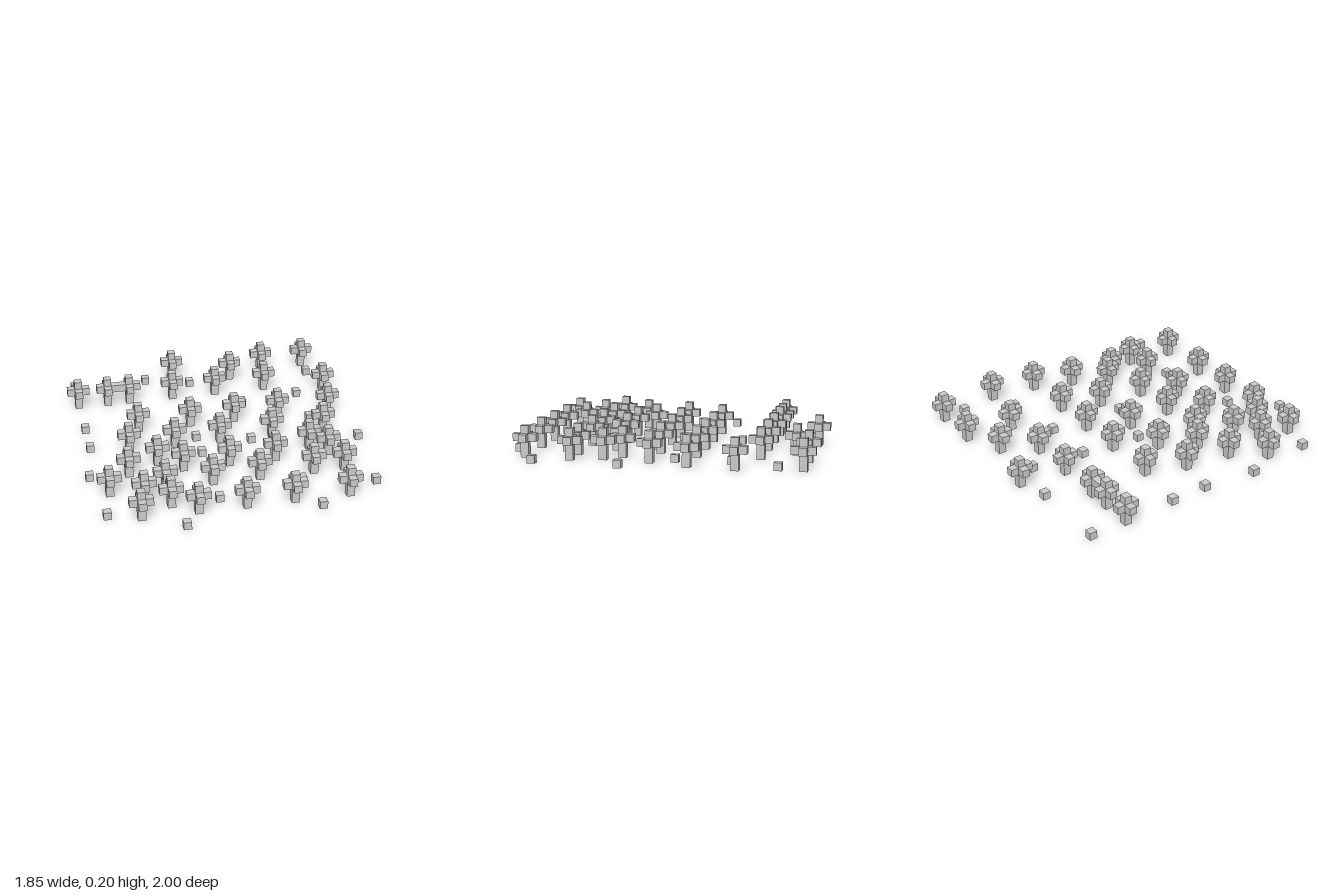
import * as THREE from 'three';

const S = 0.05; // edge of one block
const material = new THREE.MeshStandardMaterial({ color: 0xcccccc, flatShading: true });

// Plus-shaped slab of foliage, one block thick, lying flat
function plusGeometry() {
  const a = S / 2, b = S * 1.5;
  const points = [[a, b], [-a, b], [-a, a], [-b, a], [-b, -a], [-a, -a],
    [-a, -b], [a, -b], [a, -a], [b, -a], [b, a], [a, a]];
  const shape = new THREE.Shape(points.map(([x, y]) => new THREE.Vector2(x, y)));
  return new THREE.ExtrudeGeometry(shape, { depth: S, bevelEnabled: false }).rotateX(-Math.PI / 2);
}

const trunkGeo = new THREE.BoxGeometry(S, 2 * S, S).translate(0, S, 0);
const leavesGeo = plusGeometry().translate(0, 2 * S, 0);
const tipGeo = new THREE.BoxGeometry(S, S, S).translate(0, 3.5 * S, 0);
const bushGeo = new THREE.BoxGeometry(S, S, S).translate(0, S / 2, 0);

// Rows of [z, x positions]
const treeRows = [
  [-0.925, [-0.15, 0.5, 0.8]],
  [-0.825, [0.25]],
  [-0.625, [-0.85, -0.65, -0.5, -0.2, 0.1, 0.45]],
  [-0.525, [0.85]],
  [-0.225, [-0.5, -0.15, 0.15, 0.45, 0.8]],
  [0.025, [-0.6, -0.3, 0, 0.35, 0.7]],
  [0.225, [-0.45, 0.55]],
  [0.325, [-0.65, -0.3, 0, 0.3, 0.65]],
  [0.525, [-0.8, -0.45, -0.15, 0.15, 0.5, 0.7]],
  [0.625, [-0.6]],
  [0.725, [-0.45]],
  [0.825, [-0.65, -0.3, 0, 0.3, 0.65]],
];
const bushRows = [
  [-0.875, [-0.85, -0.35]],
  [-0.775, [-0.05, 0.8]],
  [-0.475, [0.65]],
  [-0.425, [-0.1, 0.25]],
  [-0.275, [-0.85]],
  [-0.125, [0.65]],
  [-0.025, [-0.85, -0.15]],
  [0.075, [0.2]],
  [0.175, [-0.15, 0.9]],
  [0.325, [-0.9]],
  [0.625, [0.4]],
  [0.725, [-0.15, 0.85]],
  [0.775, [-0.85]],
  [0.925, [0.45]],
  [0.975, [-0.4]],
];

function part(name, geometry) {
  const mesh = new THREE.Mesh(geometry, material);
  mesh.name = name;
  return mesh;
}

function makeTree() {
  const tree = new THREE.Group();
  tree.name = 'tree';
  tree.add(part('trunk', trunkGeo), part('leaves', leavesGeo), part('treeTop', tipGeo));
  return tree;
}

// Place one copy of a plant at every position of the rows
function plant(name, rows, make) {
  const group = new THREE.Group();
  group.name = name;
  for (const [z, xs] of rows) {
    for (const x of xs) {
      const item = make();
      item.position.set(x, 0, z);
      group.add(item);
    }
  }
  return group;
}

export function createModel() {
  const model = new THREE.Group();
  model.name = 'blockForest';
  model.add(plant('trees', treeRows, makeTree));
  model.add(plant('bushes', bushRows, () => part('bush', bushGeo)));
  return model;
}
